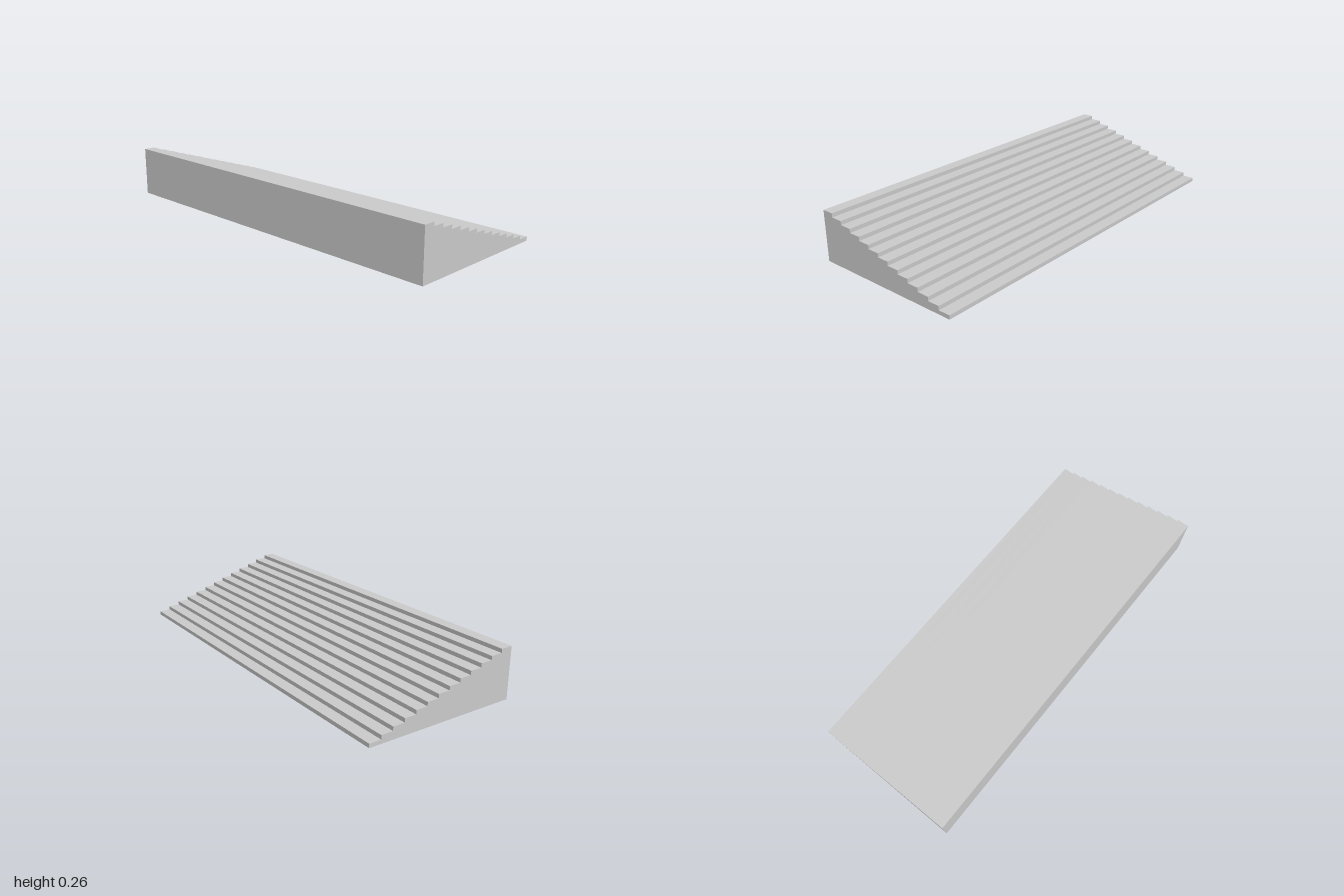
import * as THREE from 'three';

const WIDTH = 2, DEPTH = 0.8, HEIGHT = 0.26, STEPS = 13;

export function createModel() {
  const group = new THREE.Group();
  group.name = 'staircase';

  // Side profile: steps climb from the back (-z) to the tall front (+z)
  const tread = DEPTH / STEPS, riser = HEIGHT / STEPS;
  const profile = new THREE.Shape();
  profile.moveTo(DEPTH / 2, 0);
  profile.lineTo(DEPTH / 2, HEIGHT);
  for (let i = STEPS - 1; i >= 0; i--) {
    const z = -DEPTH / 2 + i * tread;
    profile.lineTo(z, (i + 1) * riser);
    profile.lineTo(z, i * riser);
  }

  // Sweep the profile across the full width
  const geometry = new THREE.ExtrudeGeometry(profile, { depth: WIDTH, bevelEnabled: false });
  geometry.rotateY(-Math.PI / 2);
  geometry.translate(WIDTH / 2, 0, 0);

  const material = new THREE.MeshStandardMaterial({ color: 0xcccccc, flatShading: true });
  const steps = new THREE.Mesh(geometry, material);
  steps.name = 'steps';
  group.add(steps);
  return group;
}
